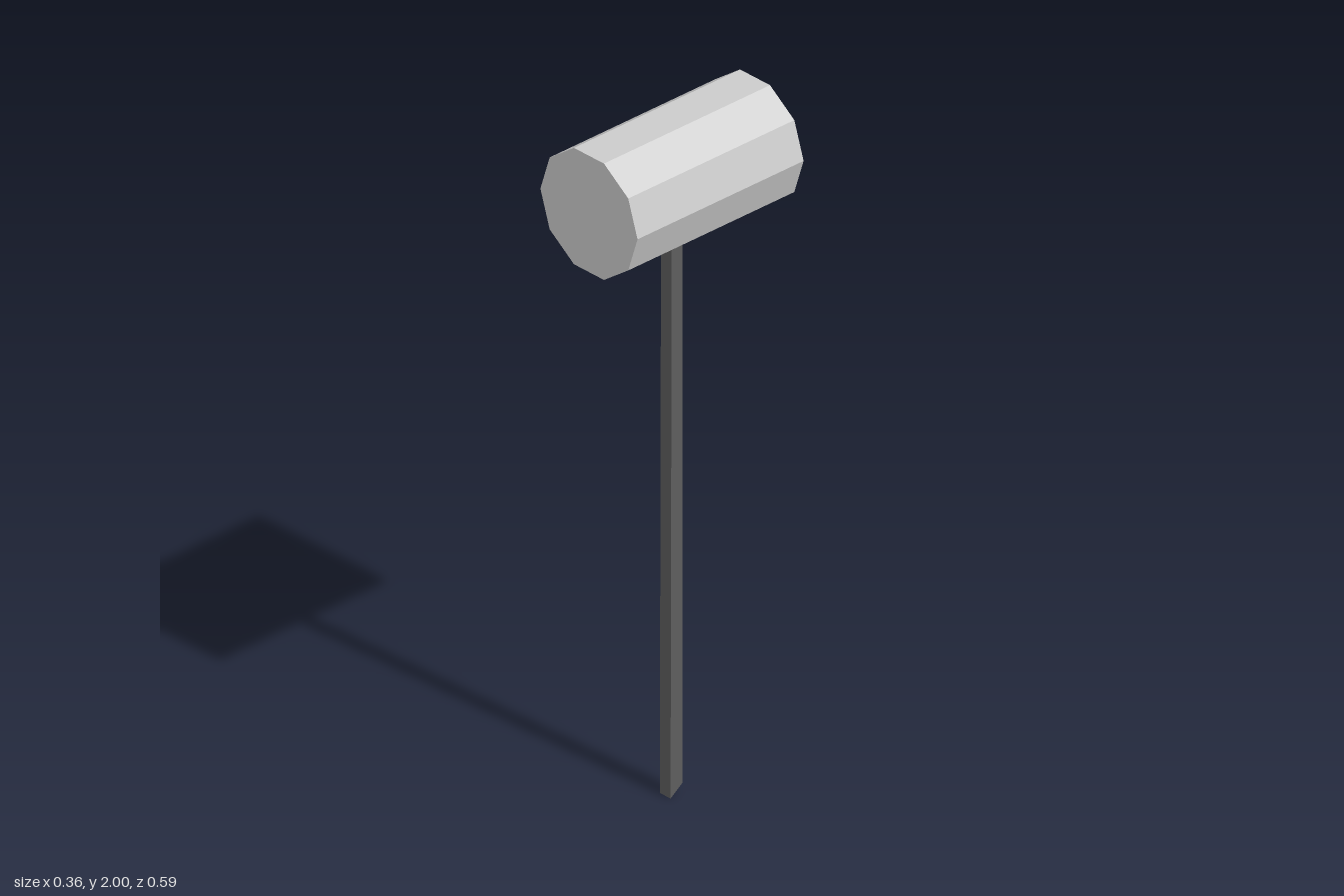
import * as THREE from 'three';

export function createModel() {
  const model = new THREE.Group();
  model.name = 'mallet';

  // Ten-sided head lying along z, with a flat on top
  const headGeometry = new THREE.CylinderGeometry(0.181, 0.181, 0.588, 10, 1, false, Math.PI / 10);
  headGeometry.rotateX(Math.PI / 2);
  const head = new THREE.Mesh(
    headGeometry,
    new THREE.MeshStandardMaterial({ color: 0xcccccc, flatShading: true })
  );
  head.name = 'head';
  head.position.y = 1.828;
  model.add(head);

  // Square handle: side profile (z, y) with a slanted foot and a slight taper
  const profile = new THREE.Shape([
    new THREE.Vector2(0.024, 0),
    new THREE.Vector2(0.02, 1.665),
    new THREE.Vector2(-0.018, 1.665),
    new THREE.Vector2(-0.018, 0.03),
  ]);
  const width = 0.04;
  const handleGeometry = new THREE.ExtrudeGeometry(profile, { depth: width, bevelEnabled: false });
  handleGeometry.translate(0, 0, -width / 2).rotateY(-Math.PI / 2);
  const handle = new THREE.Mesh(
    handleGeometry,
    new THREE.MeshStandardMaterial({ color: 0x5e5e5e, flatShading: true })
  );
  handle.name = 'handle';
  model.add(handle);

  return model;
}
